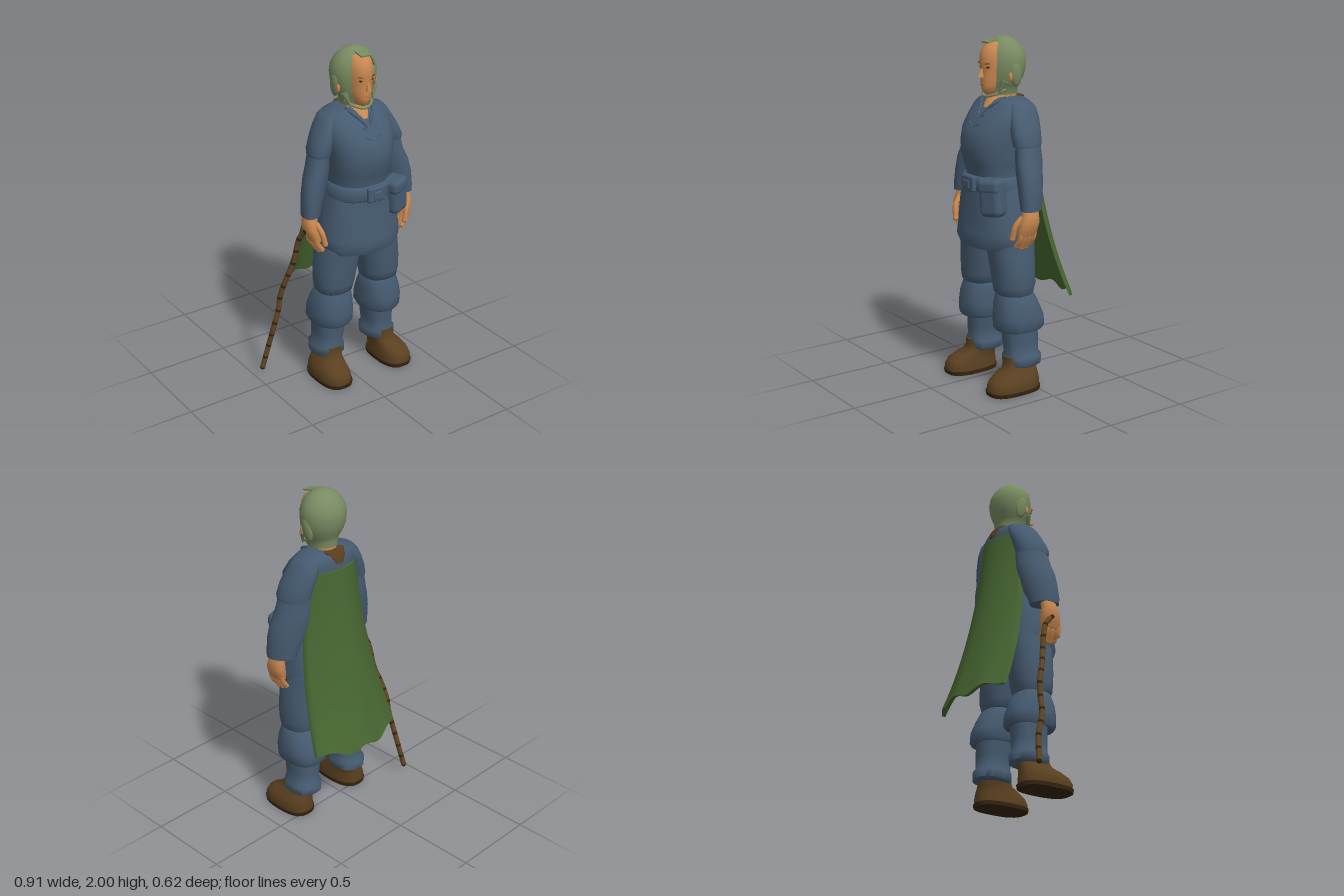
import * as THREE from 'three';
import { toCreasedNormals } from 'three/addons/utils/BufferGeometryUtils.js';
import { RoundedBoxGeometry } from 'three/addons/geometries/RoundedBoxGeometry.js';

const paint = (name, color, side = THREE.FrontSide) => {
  const m = new THREE.MeshStandardMaterial({ color, side });
  m.name = name;
  return m;
};

// Skin over horizontal rings [y, x0, x1, z0, z1], listed upwards.
// gap leaves the front open; shear pushes the outer side of a ring forward.
function loft(rings, { n = 28, p = 2.3, wrinkle = 0, gap = 0, mirror = 1, shear = 0 } = {}) {
  const pos = [], idx = [], cols = gap ? n + 1 : n;
  const pw = v => Math.sign(v) * Math.abs(v) ** (2 / p);
  rings.forEach(([y, x0, x1, z0, z1]) => {
    const cx = mirror * (x0 + x1) / 2, cz = (z0 + z1) / 2;
    for (let j = 0; j < cols; j++) {
      const a = gap + (j / n) * (Math.PI * 2 - gap * 2);
      const k = 1 + wrinkle * (Math.sin(a * 5 + y * 23) + 0.6 * Math.sin(a * 9 - y * 41));
      const dx = k * pw(Math.sin(a)) * (x1 - x0) / 2;
      pos.push(cx + dx, y, cz + k * pw(Math.cos(a)) * (z1 - z0) / 2 + shear * mirror * dx);
    }
  });
  for (let i = 0; i < rings.length - 1; i++)
    for (let j = 0; j < n; j++) {
      const a = i * cols + j, b = i * cols + (j + 1) % cols;
      idx.push(a, b, b + cols, a, b + cols, a + cols);
    }
  if (!gap) {
    [0, rings.length - 1].forEach((r, top) => {
      const [y, x0, x1, z0, z1] = rings[r], c = pos.length / 3;
      pos.push(mirror * (x0 + x1) / 2, y, (z0 + z1) / 2);
      for (let j = 0; j < n; j++) {
        const a = r * cols + j, b = r * cols + (j + 1) % n;
        top ? idx.push(c, a, b) : idx.push(c, b, a);
      }
    });
  }
  const g = new THREE.BufferGeometry();
  g.setAttribute('position', new THREE.Float32BufferAttribute(pos, 3));
  g.setIndex(idx);
  return toCreasedNormals(g, 0.9);
}

// Rings symmetrical in x: [y, half width, z0, z1]
const even = rows => rows.map(([y, w, z0, z1]) => [y, -w, w, z0, z1]);
const path = pts => new THREE.CatmullRomCurve3(pts.map(q => new THREE.Vector3(...q)));
const tube = (pts, r, seg = 12) => new THREE.TubeGeometry(path(pts), seg, r, 8);

export function createModel() {
  const blue = paint('blue cloth', 0x465b70);
  const skin = paint('skin', 0xc98850);
  const lips = paint('lips', 0xae6b45);
  const hoodGreen = paint('pale green', 0x788b61, THREE.DoubleSide);
  const capeGreen = paint('cape green', 0x476631);
  const brown = paint('brown leather', 0x5a4020);
  const wood = paint('wood', 0x634726);
  const dark = paint('dark brown', 0x35250f);

  const root = new THREE.Group();
  const body = new THREE.Group();
  body.name = 'figure';
  body.position.x = 0.08;
  root.add(body);
  const add = (name, geo, mat, at = [0, 0, 0], rot = [0, 0, 0], size = [1, 1, 1]) => {
    const m = new THREE.Mesh(geo, mat);
    m.name = name;
    m.position.set(...at);
    m.rotation.set(...rot);
    m.scale.set(...size);
    body.add(m);
  };
  const ball = new THREE.SphereGeometry(1, 16, 12);

  // Tunic, skirt and belt
  add('tunic', loft(even([
    [1.15, .175, -.055, .25], [1.25, .17, -.06, .255], [1.3, .18, -.06, .272], [1.36, .185, -.065, .286],
    [1.43, .19, -.07, .29], [1.5, .2, -.08, .268], [1.57, .205, -.08, .215], [1.615, .2, -.075, .17],
    [1.645, .175, -.065, .143], [1.665, .09, -.045, .12]]), { n: 40, wrinkle: .007 }), blue);
  add('skirt', loft(even([
    [.85, .2, -.03, .25], [.83, .225, -.06, .28], [.87, .247, -.07, .292], [.92, .247, -.07, .288], [1.0, .238, -.068, .278],
    [1.1, .22, -.062, .275], [1.22, .184, -.06, .262]]), { n: 48, wrinkle: .012 }), blue);
  add('belt', loft(even([[1.155, .197, -.068, .276], [1.165, .2, -.072, .284], [1.225, .186, -.07, .278],
    [1.235, .178, -.066, .27]]), { n: 40 }), blue);
  add('buckle', new RoundedBoxGeometry(.12, .09, .03, 2, .012), blue, [0, 1.195, .284]);
  add('buckleBar', new RoundedBoxGeometry(.055, .05, .02, 2, .008), blue, [0, 1.19, .295]);
  add('pouch', new RoundedBoxGeometry(.135, .19, .11, 3, .035), blue, [.165, 1.125, .235], [0, .4, .06]);
  add('pouchFlap', new RoundedBoxGeometry(.14, .085, .118, 3, .03), blue, [.158, 1.2, .238], [0, .4, .06]);

  // Neckline and lacing
  add('neck', loft(even([[1.58, .062, -.03, .1], [1.66, .06, -.026, .108], [1.76, .055, -.02, .11]])), skin);
  add('chestSkin', loft(even([[1.61, .03, .05, .18], [1.635, .056, .03, .162], [1.655, .064, .01, .142], [1.672, .066, 0, .122]])), skin);
  add('backCollar', loft(even([[1.6, .04, -.086, 0], [1.635, .062, -.08, 0], [1.666, .07, -.06, 0]])), brown);
  for (const s of [-1, 1]) {
    add('collarFlap', tube([[s * .078, 1.665, .09], [s * .068, 1.642, .146], [s * .036, 1.61, .178], [s * .01, 1.57, .216]], .009), blue);
    [1.5, 1.545].forEach(y => add('lace', tube([[s * .045, y + .03, .33 - (y - 1.4) * .8 - .005], [0, y, .34 - (y - 1.4) * .8],
      [-s * .04, y - .025, .345 - (y - 1.4) * .8]], .006), blue));
  }

  // Legs, boots, arms and hands
  for (const s of [-1, 1]) {
    const leg = { mirror: s, wrinkle: .013 };
    const arm = { mirror: s, wrinkle: .01, p: 2.1, shear: .42 };
    const side = s > 0 ? 'left' : 'right';
    add(side + 'Trouser', loft([
      [.37, .09, .25, -.03, .16], [.355, .06, .285, -.07, .2], [.375, .048, .296, -.083, .214], [.43, .047, .298, -.08, .214],
      [.5, .05, .287, -.05, .207], [.555, .058, .268, -.02, .192], [.565, .064, .262, -.012, .188], [.575, .052, .268, -.016, .2],
      [.62, .042, .275, -.025, .207], [.7, .025, .275, -.03, .212], [.8, .003, .265, -.035, .22], [.92, 0, .24, -.05, .23]], leg), blue);
    add(side + 'LowerLeg', loft([
      [.14, .1, .27, -.045, .15], [.15, .088, .28, -.06, .16], [.195, .086, .282, -.062, .162], [.215, .1, .265, -.045, .155],
      [.28, .09, .265, -.045, .16], [.38, .08, .265, -.045, .165]], { mirror: s, wrinkle: .018 }), blue);
    add(side + 'Sole', loft([[0, .12, .312, -.03, .298], [.022, .118, .315, -.032, .302]], { mirror: s, p: 2.7 }), dark);
    add(side + 'Boot', loft([
      [.02, .124, .31, -.028, .297], [.05, .124, .312, -.028, .298], [.08, .128, .304, -.025, .282], [.105, .13, .288, -.022, .24],
      [.13, .126, .268, -.022, .185], [.16, .122, .255, -.02, .17], [.2, .12, .255, -.02, .168]], { mirror: s, p: 2.5 }), brown);

    add(side + 'Sleeve', loft([
      [1.08, .25, .36, .02, .14], [1.075, .24, .37, .01, .15], [1.11, .232, .371, .005, .152], [1.2, .193, .364, -.015, .148],
      [1.28, .17, .345, -.03, .145], [1.34, .165, .318, -.038, .14], [1.45, .16, .29, -.035, .125]], arm), blue);
    add(side + 'ShoulderSleeve', loft([
      [1.43, .18, .28, -.015, .11], [1.415, .16, .302, -.036, .142], [1.44, .155, .303, -.04, .148], [1.5, .14, .278, -.05, .145],
      [1.56, .12, .245, -.058, .132], [1.61, .105, .215, -.055, .118], [1.638, .1, .19, -.04, .1]], { ...arm, shear: .3 }), blue);
    add(side + 'Palm', loft([
      [.93, .272, .335, .06, .168], [.96, .278, .35, .05, .172], [1.01, .285, .366, .045, .165], [1.05, .288, .364, .05, .15],
      [1.1, .28, .35, .05, .135]], { mirror: s, n: 16 }), skin);
    for (let f = 0; f < 4; f++) {
      const z = .066 + f * .029, end = .858 + Math.abs(f - 1.6) * .012;
      add(side + 'Finger', tube([[s * .32, .97, z], [s * .312, .92, z + .003], [s * .283, end, z + .006]], .0155, 6), skin);
      add(side + 'Fingertip', ball, skin, [s * .283, end, z + .006], [0, 0, 0], [.0155, .0155, .0155]);
    }
    add(side + 'Thumb', tube([[s * .31, 1.04, .14], [s * .296, .99, .178], [s * .28, .92, .188]], .0165, 8), skin);
    add(side + 'ThumbTip', ball, skin, [s * .28, .92, .188], [0, 0, 0], [.0165, .0165, .0165]);
  }

  // Head and face
  add('head', loft(even([
    [1.68, .025, .06, .165], [1.695, .042, .02, .186], [1.73, .058, 0, .192], [1.77, .069, -.02, .191], [1.82, .075, -.03, .19],
    [1.855, .078, -.03, .198], [1.9, .078, -.03, .193], [1.935, .072, -.02, .178], [1.965, .052, .01, .148], [1.982, .02, .04, .1]]),
  { p: 2.1 }), skin);
  add('nose', new THREE.ConeGeometry(.016, .065, 6), skin, [0, 1.808, .193], [-.25, 0, 0], [.85, 1, 1.5]);
  add('mouth', ball, lips, [0, 1.738, .188], [0, 0, 0], [.02, .005, .007]);
  for (const s of [-1, 1]) {
    add('eye', ball, dark, [s * .034, 1.833, .178], [0, s * .3, 0], [.014, .006, .006]);
    add('eyebrow', new THREE.BoxGeometry(.034, .005, .008), brown, [s * .035, 1.853, .184], [0, s * .3, s * .12]);
    add('ear', ball, skin, [s * .124, 1.785, .088], [0, 0, 0], [.01, .025, .012]);
  }

  // Hood with open front, crown, brow tab, ear flaps and chin strap
  add('hood', loft(even([
    [1.68, .085, -.03, .15], [1.715, .09, -.03, .155], [1.735, .105, -.035, .16], [1.77, .12, -.055, .165], [1.81, .132, -.067, .17],
    [1.86, .137, -.073, .172], [1.9, .132, -.067, .168], [1.935, .115, -.05, .157], [1.965, .089, -.024, .136], [1.98, .067, -.004, .118]]),
  { p: 2, gap: .62 }), hoodGreen);
  add('hoodCrown', loft(even([[1.966, .087, -.022, .128], [1.982, .065, -.002, .114], [1.993, .037, .022, .09], [1.999, .012, .045, .068]]),
    { p: 2 }), hoodGreen);
  add('browTab', new THREE.BoxGeometry(.06, .008, .075), hoodGreen, [0, 1.974, .137], [.2, 0, 0]);
  for (const s of [-1, 1]) {
    add('earFlap', ball, hoodGreen, [s * .122, 1.795, .05], [.15, 0, s * -.1], [.018, .07, .036]);
    add('cheekFlap', new THREE.ConeGeometry(.022, .1, 5), hoodGreen, [s * .085, 1.715, .125], [Math.PI - .35, 0, s * .3]);
  }
  add('chinStrap', tube([[-.085, 1.71, .09], [-.055, 1.683, .15], [0, 1.67, .172], [.055, 1.683, .15], [.085, 1.71, .09]], .008, 16), hoodGreen);

  // Cape: a thick bowed sheet flaring down and back, with a wavy hem
  const cape = new THREE.BoxGeometry(2, 1, .022, 32, 18, 1);
  const cp = cape.attributes.position;
  for (let i = 0; i < cp.count; i++) {
    const u = cp.getX(i), v = .5 - cp.getY(i);
    cp.setXYZ(i, u * (.18 + .135 * v),
      1.57 - 1.05 * v + .02 * v * u * u + .015 * v ** 4 * Math.sin(u * 9 + 1),
      cp.getZ(i) - .088 - .09 * v - .125 * v * v + (.07 + .16 * v - .125 * v * v) * u * u);
  }
  add('cape', toCreasedNormals(cape, 0.9), capeGreen);

  // Crooked walking stick with dark bands
  const stick = new THREE.TubeGeometry(path([
    [-.345, .99, .1], [-.36, .92, .045], [-.382, .75, .01], [-.41, .66, -.015], [-.436, .53, -.05], [-.445, .45, -.055],
    [-.475, .33, -.065], [-.49, .2, -.1], [-.525, .04, -.122]]), 60, .0155, 8);
  stick.clearGroups();
  for (let j = 0; j < 60; j++) stick.addGroup(j * 48, 48, j % 5 === 0 ? 1 : 0);
  add('walkingStick', stick, [wood, dark]);
  add('stickTop', ball, dark, [-.345, .99, .1], [0, 0, 0], [.018, .018, .018]);
  add('stickTip', ball, dark, [-.525, .04, -.122], [0, 0, 0], [.0155, .0155, .0155]);

  return root;
}
